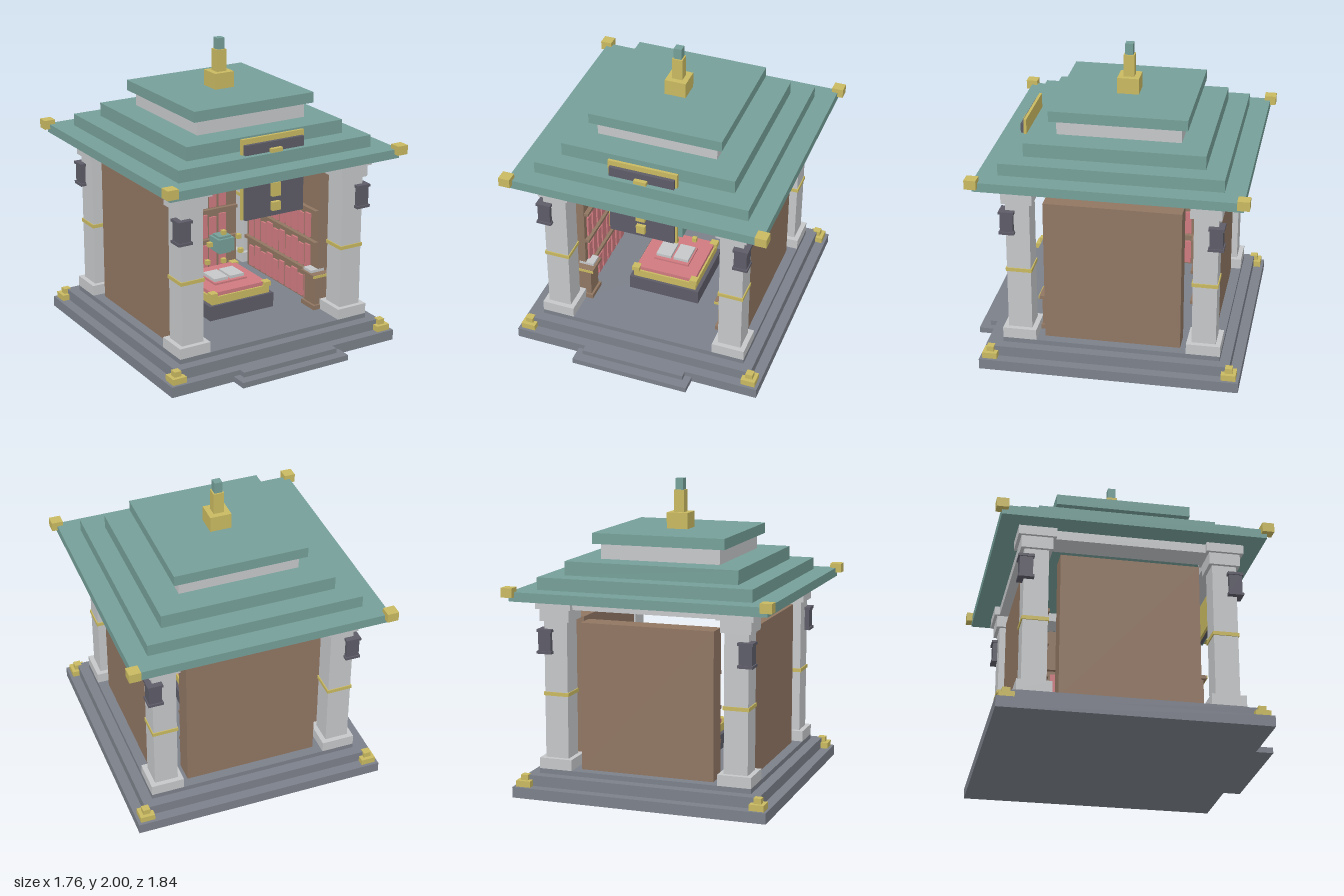
import * as THREE from 'three';

const CZ = -0.037; // centre of the pavilion in z (steps stick out in front)

function makeMaterials() {
  const colors = {
    teal: 0x759f98, stone: 0xc5c7c9, gold: 0xc9b961, slate: 0x7c808a,
    darkMetal: 0x5d5c68, wood: 0x907662, rose: 0xcf7b80,
  };
  const mats = {};
  for (const [name, color] of Object.entries(colors)) {
    mats[name] = new THREE.MeshStandardMaterial({ color });
    mats[name].name = name;
  }
  return mats;
}

// Box given by centre x/z, half sizes and a y range
function block(parent, name, mat, x, z, hx, hz, y0, y1) {
  const mesh = new THREE.Mesh(new THREE.BoxGeometry(hx * 2, y1 - y0, hz * 2), mat);
  mesh.position.set(x, (y0 + y1) / 2, z);
  mesh.name = name;
  parent.add(mesh);
  return mesh;
}

function group(parent, name) {
  const g = new THREE.Group();
  g.name = name;
  parent.add(g);
  return g;
}

export function createModel() {
  const model = new THREE.Group();
  model.name = 'pavilion';
  const m = makeMaterials();

  // Everything square sits in a group centred on the pavilion axis
  const hall = group(model, 'hall');
  hall.position.z = CZ;

  // Stepped platform: half size, bottom, top
  [[0.845, 0, 0.07], [0.778, 0.07, 0.14], [0.71, 0.14, 0.172]].forEach(([h, y0, y1]) =>
    block(hall, 'platformTier', m.slate, 0, 0, h, h, y0, y1));

  // Front steps
  block(model, 'lowerStep', m.slate, 0, 0.84, 0.4, 0.08, 0, 0.037);
  block(model, 'upperStep', m.slate, 0, 0.81, 0.353, 0.045, 0.037, 0.07);

  // Stepped roof, neck and cap
  [[0.843, 1.275, 1.335], [0.71, 1.335, 1.415], [0.577, 1.415, 1.505]].forEach(([h, y0, y1]) =>
    block(hall, 'roofTier', m.teal, 0, 0, h, h, y0, y1));
  block(hall, 'roofNeck', m.stone, 0, 0, 0.4, 0.4, 1.505, 1.605);
  block(hall, 'roofCap', m.teal, 0, 0, 0.443, 0.443, 1.605, 1.675);

  // Finial
  block(hall, 'finialBase', m.gold, 0, 0, 0.071, 0.071, 1.675, 1.78);
  block(hall, 'finialStem', m.gold, 0, 0, 0.035, 0.035, 1.78, 1.925);
  block(hall, 'finialTip', m.teal, 0, 0, 0.026, 0.026, 1.925, 2);

  // Four corners: column, lantern, roof cube and platform ornament
  for (const sx of [-1, 1]) for (const sz of [-1, 1]) {
    const corner = group(hall, 'corner');
    const part = (name, mat, at, h, y0, y1) =>
      block(corner, name, mat, sx * at, sz * at, h, h, y0, y1);
    part('columnBase', m.stone, 0.6, 0.11, 0.172, 0.243);
    part('columnShaft', m.stone, 0.6, 0.078, 0.243, 1.135);
    part('columnBand', m.gold, 0.6, 0.085, 0.65, 0.674);
    part('capitalLower', m.stone, 0.6, 0.1, 1.135, 1.215);
    part('capitalUpper', m.stone, 0.6, 0.12, 1.215, 1.275);
    part('lanternBody', m.darkMetal, 0.666, 0.042, 0.94, 1.07);
    part('lanternFoot', m.darkMetal, 0.666, 0.05, 0.925, 0.943);
    part('lanternCap', m.darkMetal, 0.666, 0.05, 1.065, 1.083);
    part('roofCornerCube', m.gold, 0.843, 0.038, 1.304, 1.365);
    part('ornamentBase', m.gold, 0.778, 0.048, 0.07, 0.11);
    part('ornamentTop', m.gold, 0.778, 0.024, 0.11, 0.145);
  }

  // Beams between the capitals
  for (const s of [-1, 1]) {
    block(hall, 'crossBeam', m.stone, 0, s * 0.6, 0.48, 0.085, 1.215, 1.275);
    block(hall, 'sideBeam', m.stone, s * 0.6, 0, 0.085, 0.48, 1.215, 1.275);
  }

  // Bookcase walls on the back and both sides
  for (const turn of [0, 1, -1]) {
    const wall = group(hall, 'bookcaseWall');
    wall.rotation.y = turn * Math.PI / 2;
    block(wall, 'wallPanel', m.wood, 0, -0.575, 0.444, 0.07, 0.172, 1.13);
    [0.385, 0.607, 0.83].forEach((y, row) => {
      block(wall, 'shelf', m.wood, 0, -0.492, 0.44, 0.016, y, y + 0.022);
      for (let i = 0; i < 10; i++) {
        const tall = i % 4 === 3 ? 0.172 : i % 2 ? 0.166 : 0.15;
        const bottom = [0.187, 0.415, 0.638][row];
        block(wall, 'book', m.rose, -0.377 + i * 0.0782, -0.5,
          i % 4 === 3 ? 0.032 : 0.027, 0.008, bottom, bottom + tall);
      }
    });
  }

  // Plaque hung through the eaves
  const plaque = group(model, 'plaque');
  block(plaque, 'plaqueFrame', m.gold, 0, 0.608, 0.23, 0.009, 0.99, 1.515);
  block(plaque, 'plaqueBoard', m.darkMetal, 0, 0.628, 0.216, 0.012, 0.99, 1.48);
  block(plaque, 'plaqueCrest', m.gold, 0, 0.653, 0.042, 0.014, 1.385, 1.44);
  block(plaque, 'plaqueStud', m.gold, 0, 0.653, 0.03, 0.014, 1.125, 1.215);
  block(plaque, 'plaqueStud', m.gold, 0, 0.653, 0.03, 0.014, 1.03, 1.087);

  // Central dais with cushion and open book
  const dais = group(model, 'dais');
  dais.position.z = 0.02;
  block(dais, 'daisBase', m.darkMetal, 0, 0, 0.247, 0.24, 0.172, 0.273);
  block(dais, 'daisTrim', m.gold, 0, 0, 0.222, 0.222, 0.273, 0.326);
  block(dais, 'cushion', m.rose, 0, 0, 0.21, 0.21, 0.326, 0.352);
  block(dais, 'cushionTop', m.rose, 0, 0, 0.125, 0.1, 0.352, 0.365);
  for (const sx of [-1, 1]) {
    block(dais, 'bookPage', m.stone, sx * 0.062, 0, 0.053, 0.075, 0.365, 0.385);
    for (const sz of [-1, 1])
      block(dais, 'cushionCorner', m.gold, sx * 0.207, sz * 0.207, 0.026, 0.026, 0.324, 0.355);
  }

  // Floating relic with gold motes around it
  const relic = group(model, 'relic');
  block(relic, 'relicCore', m.teal, 0, 0, 0.045, 0.045, 0.533, 0.655);
  block(relic, 'relicBelt', m.teal, 0, 0, 0.062, 0.062, 0.548, 0.64);
  [[0, 0.675], [-0.107, 0.608], [0.117, 0.625], [-0.125, 0.485], [0.135, 0.52], [0, 0.473]]
    .forEach(([x, y]) => block(relic, 'mote', m.gold, x, 0.02, 0.015, 0.015, y - 0.015, y + 0.015));

  // Reading stands inside the entrance
  for (const s of [-1, 1]) {
    const stand = group(model, 'readingStand');
    stand.position.set(s * 0.5, 0, 0.385);
    block(stand, 'standBase', m.wood, 0, 0, 0.06, 0.075, 0.172, 0.203);
    block(stand, 'standPost', m.wood, 0, 0, 0.045, 0.06, 0.203, 0.398);
    block(stand, 'standTop', m.wood, 0, 0, 0.068, 0.075, 0.398, 0.42);
    block(stand, 'standTrim', m.gold, 0, 0.077, 0.07, 0.003, 0.4, 0.418);
    block(stand, 'standBook', m.stone, 0, -0.02, 0.052, 0.045, 0.42, 0.438);
  }

  return model;
}
